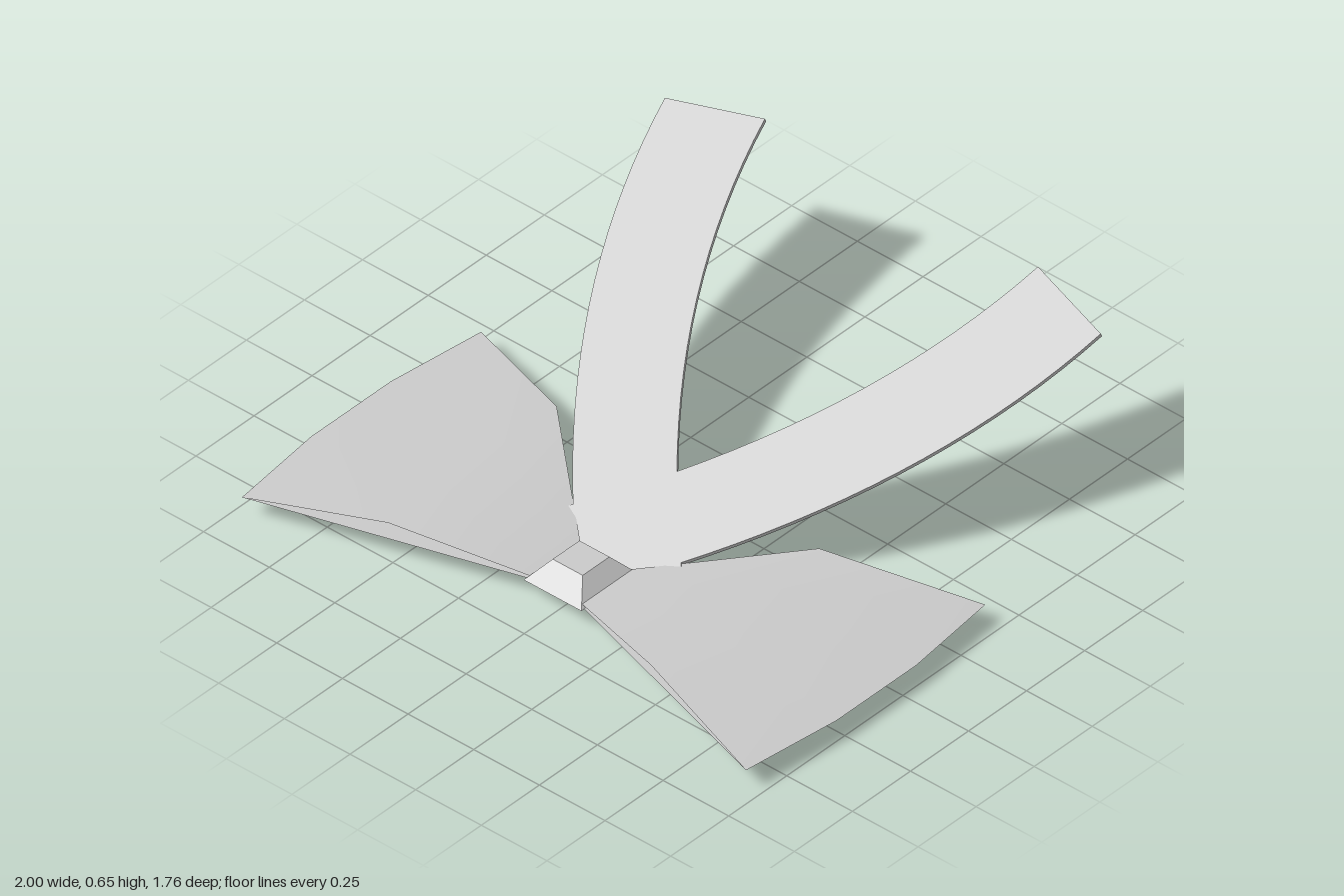
import * as THREE from 'three';

const grey = new THREE.MeshStandardMaterial({ color: 0xcccccc });
const thin = new THREE.MeshStandardMaterial({ color: 0xcccccc, side: THREE.DoubleSide });

function part(name, geometry, material) {
  const mesh = new THREE.Mesh(geometry, material);
  mesh.name = name;
  return mesh;
}

// Thin sheet from rows of [x, y, z] points, mirrored by side
function sheet(rows, side) {
  const n = rows[0].length;
  const index = [];
  for (let r = 0; r < rows.length - 1; r++) {
    for (let c = 0; c < n - 1; c++) {
      const a = r * n + c, b = a + 1, d = a + n, e = d + 1;
      if (side > 0) index.push(a, b, d, b, e, d);
      else index.push(a, d, b, b, d, e);
    }
  }
  const geo = new THREE.BufferGeometry();
  const pos = rows.flat().flatMap(([x, y, z]) => [x * side, y, z]);
  geo.setAttribute('position', new THREE.Float32BufferAttribute(pos, 3));
  geo.setIndex(index);
  geo.computeVertexNormals();
  return geo;
}

// Row of four points across z; the outer tip bulges in x
function row(x, y, zBack, zFront, bulge = 0) {
  return [0, 1 / 3, 2 / 3, 1].map((t, i) =>
    [x + (i === 1 || i === 2 ? bulge : 0), y, THREE.MathUtils.lerp(zBack, zFront, t)]);
}

// Bow loop: a ridged upper sheet over a flat lower sheet, open at front and back
function loop(side) {
  const group = new THREE.Group();
  group.name = side > 0 ? 'leftLoop' : 'rightLoop';
  const tip = row(0.96, 0.075, -0.15, 0.88, 0.04);
  group.add(part('upperSheet', sheet([
    row(0.09, 0.077, 0.405, 0.61), row(0.5, 0.155, 0.045, 0.77), tip], side), thin));
  group.add(part('lowerSheet', sheet([row(0.09, 0.068, 0.4, 0.61), tip], side), thin));
  return group;
}

// Ribbon tail: a curved strip on a sloping plane, crossing the centre line
const SLOPE = Math.atan(0.46);
function tail(side) {
  const curve = new THREE.QuadraticBezierCurve(
    new THREE.Vector2(-0.31, 0.4), new THREE.Vector2(0.372, -0.214), new THREE.Vector2(0.52, -0.88));
  const inner = curve.getPoints(20);
  const outer = inner.map((p, i) =>
    new THREE.Vector2(p.x + 0.31, p.y + THREE.MathUtils.lerp(0.105, 0.08, i / 20)));
  const outline = [...inner, ...outer.reverse()].map(p =>
    new THREE.Vector2(p.x * side, -p.y / Math.cos(SLOPE)));
  const geo = new THREE.ExtrudeGeometry(new THREE.Shape(outline), { depth: 0.013, bevelEnabled: false });
  geo.rotateX(SLOPE - Math.PI / 2);
  geo.translate(0, 0.505 * 0.46, 0);
  return part(side > 0 ? 'leftTail' : 'rightTail', geo, grey);
}

// Knot: box tapering towards its top
function knot() {
  const geo = new THREE.BoxGeometry(0.22, 0.064, 0.24).toNonIndexed();
  const p = geo.attributes.position;
  for (let i = 0; i < p.count; i++) {
    if (p.getY(i) > 0) p.setXYZ(i, p.getX(i) * 0.52, p.getY(i), p.getZ(i) * 0.48 - 0.003);
  }
  geo.computeVertexNormals();
  geo.translate(0, 0.099, 0.508);
  return part('knot', geo, grey);
}

export function createModel() {
  const model = new THREE.Group();
  model.name = 'bow';
  for (const side of [1, -1]) model.add(loop(side), tail(side));
  model.add(knot());
  return model;
}
